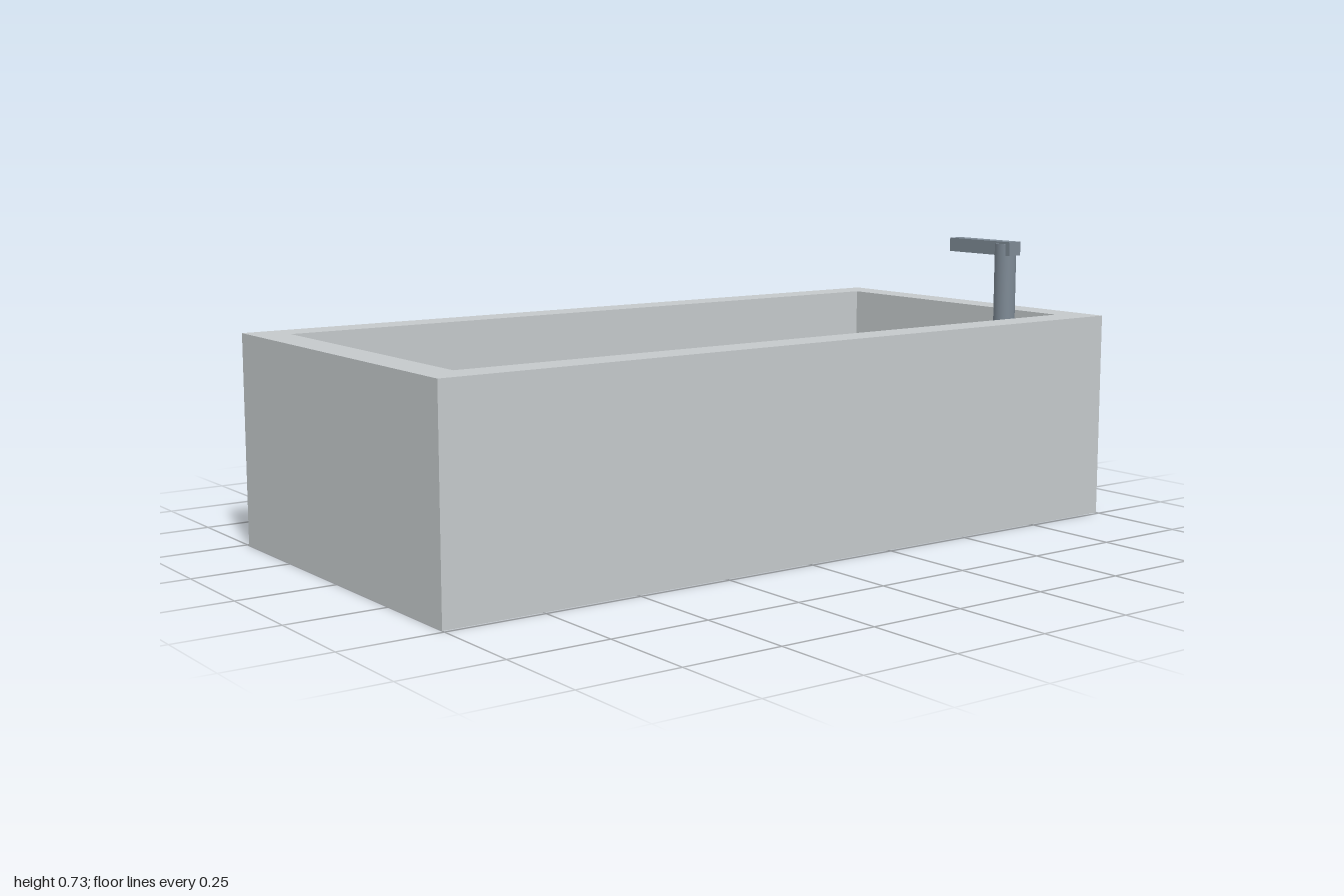
import * as THREE from 'three';

const ceramic = new THREE.MeshStandardMaterial({ name: 'ceramic grey', color: 0xc4c9cb });
const metal = new THREE.MeshStandardMaterial({ name: 'brushed metal', color: 0x7d8994 });

const HEIGHT = 0.533, FLOOR = 0.06;
const OUTER = { x: 0.49, back: -1, front: 1 };
const INNER = { x: 0.4, back: -0.918, front: 0.912 };

// Traces a rectangle on the ground plane; shape y becomes -z once laid flat
function traceRect(path, { x, back, front }) {
  path.moveTo(-x, -front);
  path.lineTo(x, -front);
  path.lineTo(x, -back);
  path.lineTo(-x, -back);
  path.closePath();
  return path;
}

function addMesh(parent, name, geometry, material, x = 0, y = 0, z = 0) {
  const mesh = new THREE.Mesh(geometry, material);
  mesh.name = name;
  mesh.position.set(x, y, z);
  parent.add(mesh);
  return mesh;
}

export function createModel() {
  const model = new THREE.Group();
  model.name = 'bathtub';

  // Tub: rectangular ring of walls closed by a floor slab
  const tub = new THREE.Group();
  tub.name = 'tub';
  model.add(tub);
  const ring = traceRect(new THREE.Shape(), OUTER);
  ring.holes.push(traceRect(new THREE.Path(), INNER));
  const walls = new THREE.ExtrudeGeometry(ring, { depth: HEIGHT, bevelEnabled: false });
  walls.rotateX(-Math.PI / 2);
  addMesh(tub, 'tubWalls', walls, ceramic);
  const floor = new THREE.BoxGeometry(INNER.x * 2, FLOOR, INNER.front - INNER.back);
  addMesh(tub, 'tubFloor', floor, ceramic, 0, FLOOR / 2, (INNER.front + INNER.back) / 2);

  // Drain disc on the floor
  addMesh(model, 'drain', new THREE.CylinderGeometry(0.05, 0.05, 0.008, 32), metal, 0, FLOOR + 0.004, -0.715);

  // Tap: round column carrying a square spout
  const tap = new THREE.Group();
  tap.name = 'tap';
  tap.position.set(0.344, 0, -0.782);
  model.add(tap);
  const bottom = 0.475, top = 0.725;
  addMesh(tap, 'tapColumn', new THREE.CylinderGeometry(0.028, 0.028, top - bottom, 32), metal, 0, (top + bottom) / 2, 0);
  addMesh(tap, 'tapSpout', new THREE.BoxGeometry(0.222, 0.036, 0.04), metal, -0.077, 0.713, 0);

  return model;
}
